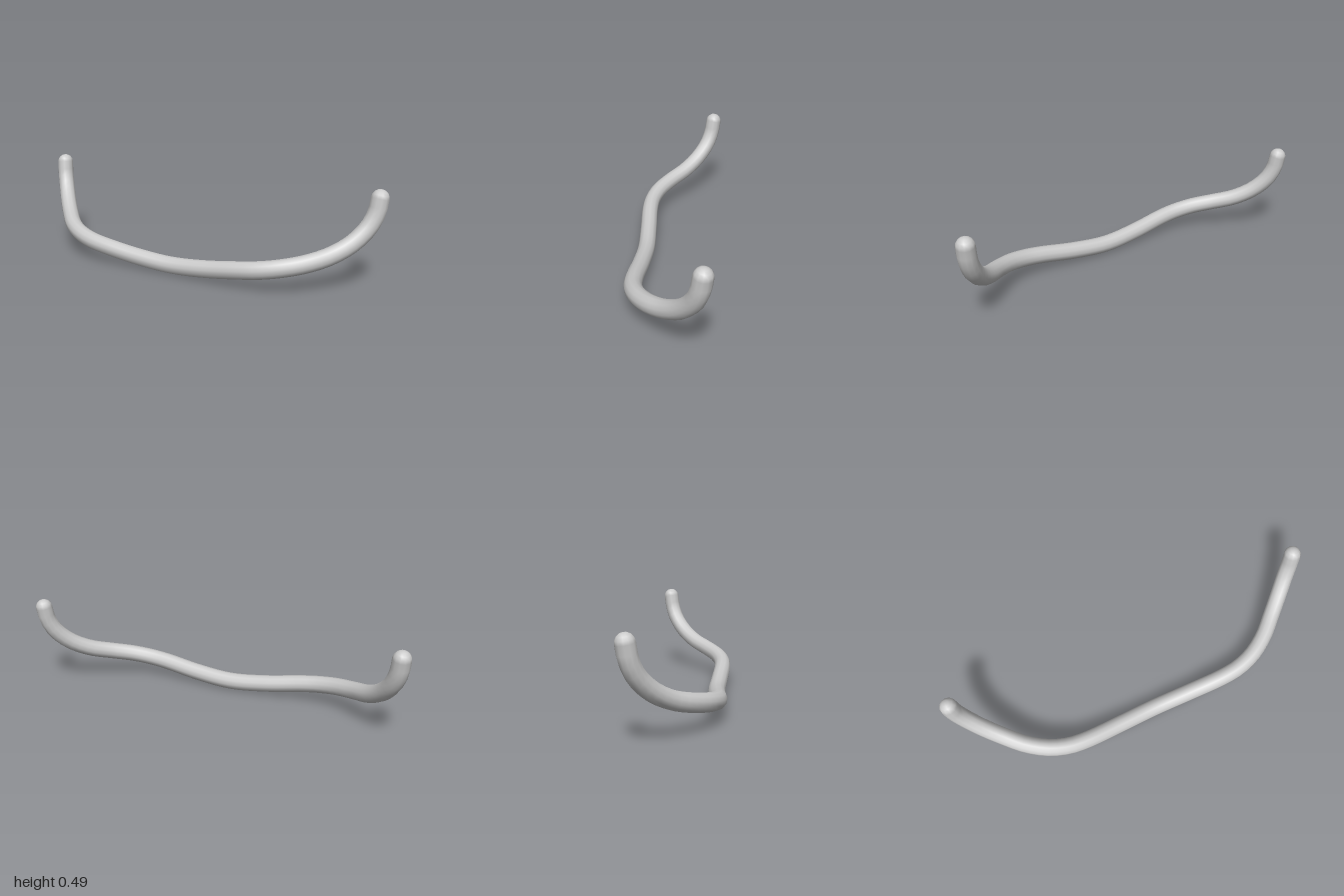
import * as THREE from 'three';

const RADIUS = 0.0445;
const SIDES = 12;
const SEGMENTS = 56;

// Right-to-left mirrored centre line of the bent bar
function barCurve() {
  const half = [
    [0.2, 0.062, 0.16], [0.4, 0.092, 0.17], [0.5, 0.107, 0.163], [0.6, 0.125, 0.132],
    [0.7, 0.147, 0.07], [0.79, 0.18, -0.013], [0.865, 0.233, -0.085],
    [0.92, 0.305, -0.14], [0.947, 0.375, -0.166], [0.956, 0.445, -0.177],
  ];
  const left = half.map(([x, y, z]) => new THREE.Vector3(x, y, z));
  const right = half.map(([x, y, z]) => new THREE.Vector3(-x, y, z)).reverse();
  return new THREE.CatmullRomCurve3([...right, new THREE.Vector3(0, 0.047, 0.152), ...left]);
}

export function createModel() {
  const group = new THREE.Group();
  group.name = 'curvedBar';
  const material = new THREE.MeshStandardMaterial({ color: 0xcccccc });
  const curve = barCurve();

  // Main bar
  const bar = new THREE.Mesh(new THREE.TubeGeometry(curve, SEGMENTS, RADIUS, SIDES), material);
  bar.name = 'bar';
  group.add(bar);

  // Rounded ends, lined up with the last ring on each side
  const frames = curve.computeFrenetFrames(SEGMENTS, false);
  const capGeometry = new THREE.SphereGeometry(RADIUS, SIDES, 4, 0, Math.PI * 2, 0, Math.PI / 2);
  for (const [name, u, sign] of [['rightEnd', 0, -1], ['leftEnd', 1, 1]]) {
    const normal = frames.normals[u * SEGMENTS];
    const axis = frames.tangents[u * SEGMENTS].clone().multiplyScalar(sign);
    const across = new THREE.Vector3().crossVectors(normal, axis);
    const cap = new THREE.Mesh(capGeometry, material);
    cap.name = name;
    cap.quaternion.setFromRotationMatrix(new THREE.Matrix4().makeBasis(normal, axis, across));
    cap.position.copy(curve.getPointAt(u));
    group.add(cap);
  }
  return group;
}
